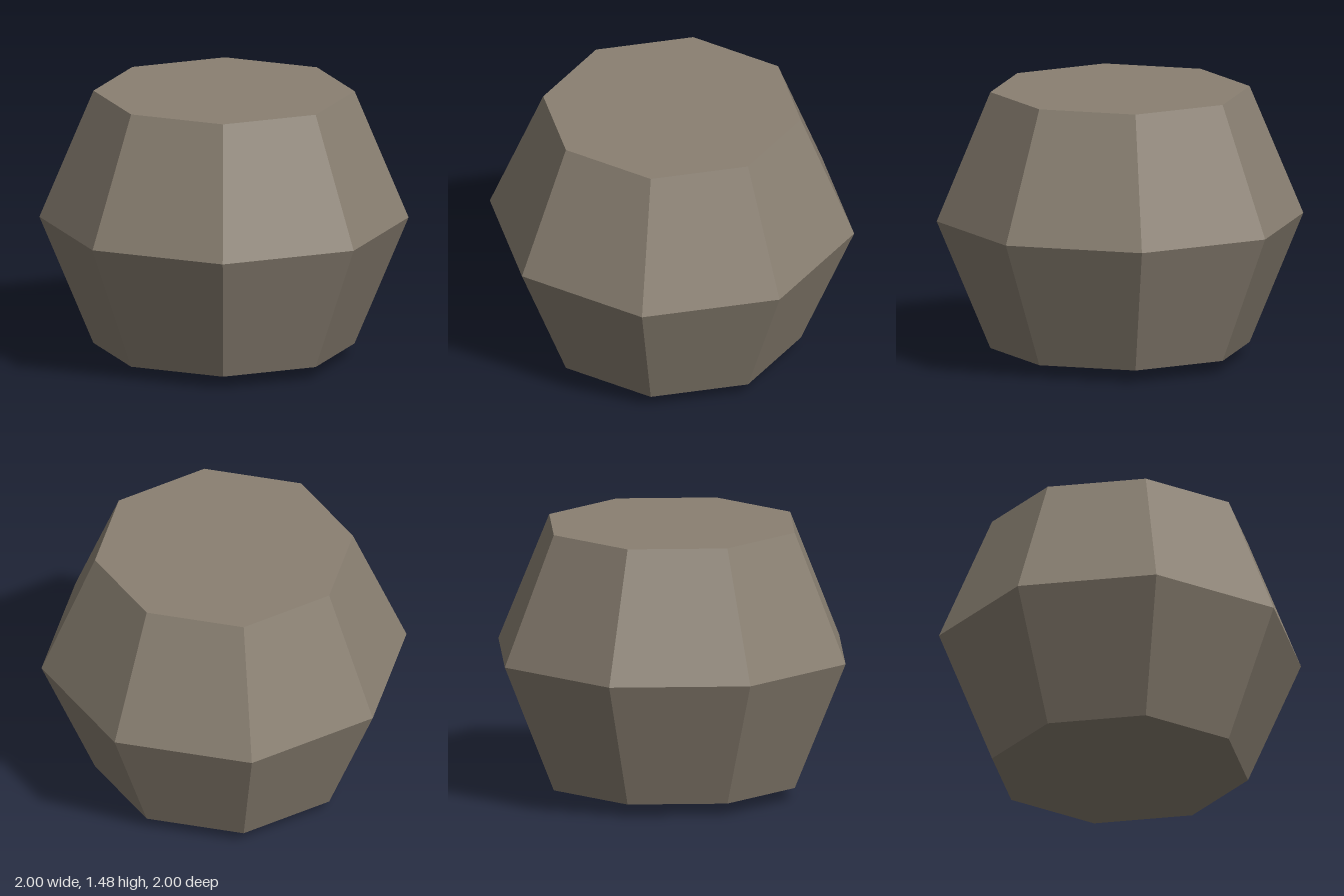
import * as THREE from 'three';

export function createModel() {
  const group = new THREE.Group();
  const stone = new THREE.MeshStandardMaterial({ color: 0x8a8072 });
  stone.name = 'stone';

  // Eight-sided boulder: widest at the middle, flat on top, shallow point below
  const profile = [[0, 0], [0.707, 0.07], [1, 0.777], [0.707, 1.484], [0, 1.484]]
    .map(([r, y]) => new THREE.Vector2(r, y));
  const lathe = new THREE.LatheGeometry(profile, 8);

  // Shift the bottom point slightly off the axis
  const pos = lathe.attributes.position;
  for (let i = 0; i < pos.count; i++) {
    if (pos.getY(i) < 0.01) pos.setXYZ(i, -0.05, 0, -0.01);
  }

  // Separate the faces so every facet is flat
  const geometry = lathe.toNonIndexed();
  geometry.computeVertexNormals();

  const boulder = new THREE.Mesh(geometry, stone);
  boulder.name = 'boulder';
  group.add(boulder);
  return group;
}
